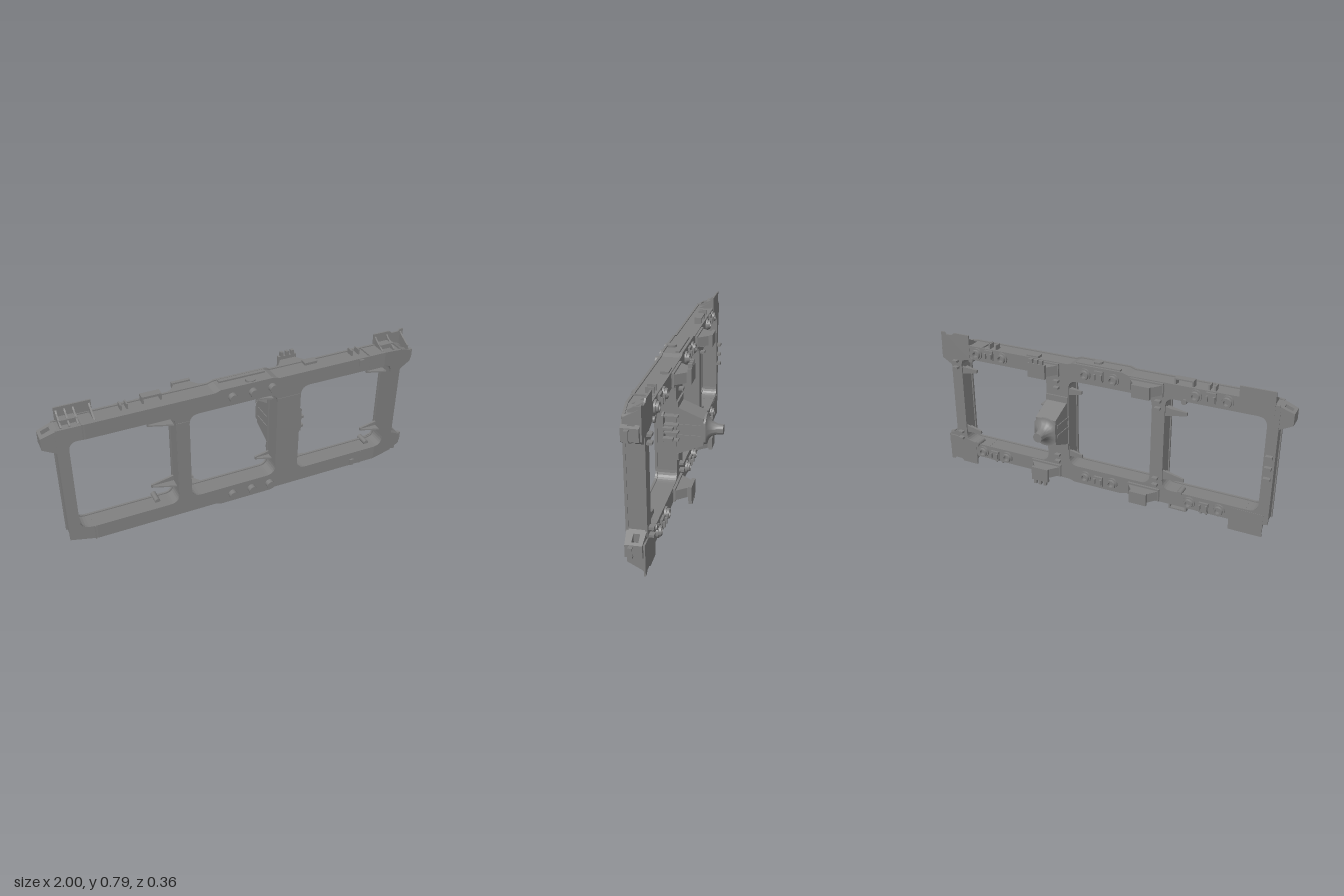
import * as THREE from 'three';
import { toCreasedNormals } from 'three/addons/utils/BufferGeometryUtils.js';

const MID = 0.4; // height of the horizontal mirror plane
const material = new THREE.MeshStandardMaterial({ color: 0x808080, side: THREE.DoubleSide });

// Closed shape from [a, b, radius] corners, rounded where a radius is given
function roundedShape(pts, Type = THREE.Shape) {
  const s = new Type();
  const n = pts.length;
  pts.forEach(([x, y, r = 0], i) => {
    const toward = (q) => {
      const d = Math.hypot(q[0] - x, q[1] - y);
      return [x + ((q[0] - x) * r) / d, y + ((q[1] - y) * r) / d];
    };
    const a = toward(pts[(i + n - 1) % n]);
    const b = toward(pts[(i + 1) % n]);
    if (i) s.lineTo(...a); else s.moveTo(...a);
    if (r) s.quadraticCurveTo(x, y, ...b);
  });
  s.closePath();
  return s;
}
const extrude = (shape, depth) =>
  new THREE.ExtrudeGeometry(shape, { depth, bevelEnabled: false, curveSegments: 6 });
// Profile (x, y) pushed along z; (z, y) along x; (x, z) along y
const extrudeZ = (shape, z0, z1) => extrude(shape, z1 - z0).translate(0, 0, z0);
const extrudeX = (shape, x0, x1) => extrude(shape, x1 - x0).rotateY(-Math.PI / 2).translate(x1, 0, 0);
const extrudeY = (shape, y0, y1) => extrude(shape, y1 - y0).rotateX(Math.PI / 2).translate(0, y1, 0);
// Turned part from [radius, height] points, pointing to the back
const turned = (pts, sides) => new THREE.LatheGeometry(pts.map(([r, h]) => new THREE.Vector2(r, h)), sides)
  .rotateX(-Math.PI / 2);

export function createModel() {
  const root = new THREE.Group();
  root.name = 'vehicleFrame';
  const add = (name, geo) => {
    const m = new THREE.Mesh(geo, material);
    m.name = name;
    root.add(m);
  };
  const box = (name, x0, x1, y0, y1, z0, z1) =>
    add(name, new THREE.BoxGeometry(x1 - x0, Math.abs(y1 - y0), z1 - z0)
      .translate((x0 + x1) / 2, (y0 + y1) / 2, (z0 + z1) / 2));
  const rod = (name, x, y, z0, z1, r) =>
    add(name, new THREE.CylinderGeometry(r, r, z1 - z0, 20).rotateX(Math.PI / 2).translate(x, y, (z0 + z1) / 2));

  // Main frame: a box-section core with overhanging front and back flanges.
  // d insets the outline and widens the openings.
  const frameShapes = (d) => {
    const r = 0.05, lo = 0.14 - d, hi = 0.66 + d, t = 0.74 - d, b = 0.06 + d;
    const middle = roundedShape([
      [-0.8, t], [-0.16, t], [-0.13, t + 0.01], [0.15, t + 0.01], [0.18, t], [0.8, t],
      [0.8, hi], [0.31 - d, hi, r], [0.31 - d, lo, r], [0.8, lo],
      [0.8, b], [0.18, b], [0.15, b - 0.01], [-0.13, b - 0.01], [-0.16, b], [-0.8, b],
      [-0.8, lo], [-0.365 + d, lo, r], [-0.365 + d, hi, r], [-0.8, hi]]);
    middle.holes.push(roundedShape([
      [-0.295 - d, lo + 0.01, r], [0.178 + d, lo + 0.01, r],
      [0.178 + d, hi - 0.01, r], [-0.295 - d, hi - 0.01, r]], THREE.Path));
    const left = roundedShape([
      [-0.8, t], [-0.93, t - 0.01], [-0.935 + d, 0.7], [-0.935 + d, 0.08 + d], [-0.8, b],
      [-0.8, lo], [-0.88 - d, lo, r], [-0.88 - d, hi, r], [-0.8, hi]]);
    const right = roundedShape([
      [0.8, t], [0.92, t - 0.015], [0.915 - d, 0.7], [0.915 - d, 0.1], [0.92, b + 0.015], [0.8, b],
      [0.8, lo], [0.85 + d, lo, r], [0.85 + d, hi, r], [0.8, hi]]);
    return [middle, left, right];
  };
  for (const [name, z0, z1, d] of [
    ['backFlange', 0.042, 0.053, 0], ['frameCore', 0.053, 0.14, 0.006], ['frontFlange', 0.14, 0.152, 0]]) {
    for (const shape of frameShapes(d)) {
      const g = extrudeZ(shape, z0, z1);
      const p = g.attributes.position;
      // the front face slopes back toward both ends
      for (let i = 0; i < p.count; i++)
        if (p.getZ(i) > 0.1) p.setZ(i, p.getZ(i) - Math.max(0, Math.abs(p.getX(i)) - 0.8) * 0.12);
      g.computeVertexNormals();
      add(name, g);
    }
  }
  // Cover plates on the two crossmembers
  box('crossmemberCover', 0.178, 0.308, 0.18, 0.62, 0.15, 0.154);
  box('crossmemberCover', -0.363, -0.297, 0.18, 0.62, 0.15, 0.154);

  // Hollow corner ears, with a vertical window through each
  const ear = (side, x0, x1, s) => {
    const shape = roundedShape([[x0, 0.045], [x1, 0.05], [x1, 0.128], [x0, 0.136]]);
    const a = x0 + (x1 - x0) * 0.32, b = x0 + (x1 - x0) * 0.82;
    shape.holes.push(roundedShape([[a, 0.07], [b, 0.07], [b, 0.1], [a, 0.1]], THREE.Path));
    const g = extrudeY(shape, -0.5, 0.5);
    const p = g.attributes.position;
    for (let i = 0; i < p.count; i++) {
      const u = (p.getX(i) - x0) / (x1 - x0);
      const h = p.getY(i) > 0 ? 0.33 - 0.03 * u : 0.2 + 0.04 * u;
      p.setY(i, MID + s * h);
    }
    if (s < 0) { // restore the winding after mirroring
      for (let i = 0; i < p.count; i += 3) {
        const v = [p.getX(i), p.getY(i), p.getZ(i)];
        p.setXYZ(i, p.getX(i + 1), p.getY(i + 1), p.getZ(i + 1));
        p.setXYZ(i + 1, ...v);
      }
    }
    g.computeVertexNormals();
    add(side + 'Ear', g);
  };
  ear('right', -0.92, -1, 1);
  ear('left', 0.905, 0.98, 1);
  ear('left', 0.905, 0.98, -1);

  // Parts repeated on the upper and lower rails
  for (const s of [1, -1]) {
    const Y = (y) => MID + s * (y - MID);
    const sbox = (name, x0, x1, y0, y1, z0, z1) => box(name, x0, x1, Y(y0), Y(y1), z0, z1);
    const shapeY = (pts) => roundedShape(pts.map(([a, y, r]) => [a, Y(y), r]));

    // Corner plates and their triangular ribs
    add('cornerPlate', extrudeZ(shapeY([
      [-0.91, 0.67], [-0.735, 0.67], [-0.735, 0.797], [-0.91, 0.797]]), 0.04, 0.048));
    add('cornerPlate', extrudeZ(shapeY([
      [0.79, 0.66], [0.86, 0.64], [0.97, 0.64], [0.97, 0.795], [0.95, 0.795], [0.94, 0.783],
      [0.9, 0.783], [0.885, 0.797], [0.79, 0.797]]), 0.04, 0.048));
    for (const x of [-0.9, -0.86, -0.82, -0.745, 0.8, 0.87, 0.955])
      add('plateRib', extrudeX(shapeY([[0.045, 0.7], [0.045, 0.785], [0.06, 0.77], [0.125, 0.735], [0.125, 0.7]]), x - 0.004, x + 0.004));
    for (const x of [-0.88, 0.82]) sbox('ribShelf', x - 0.02, x + 0.06, 0.73, 0.755, 0.06, 0.1);

    // Front bosses
    for (const x of [-0.07, 0.04, 0.145]) rod('frontBoss', x, Y(0.7), 0.15, 0.18, 0.022);

    // Pairs of ring seats on the back, with a clamp between them
    for (const x of [-0.6, 0, 0.66]) {
      for (const e of [-0.08, 0.08])
        add('ringSeat', toCreasedNormals(turned([[0.033, 0], [0.033, 0.012], [0.026, 0.012],
          [0.024, 0.024], [0.015, 0.024], [0.015, 0]], 24), 0.5).translate(x + e, Y(0.702), 0.044));
      sbox('clampBase', x - 0.025, x + 0.025, 0.68, 0.735, 0.03, 0.044);
      for (const e of [-0.018, 0.018]) sbox('clampEar', x + e - 0.005, x + e + 0.005, 0.69, 0.72, 0.018, 0.032);
    }

    // Rear brackets with flared necks and end plates
    for (const [x, w] of [[-0.265, 0.048], [0.32, 0.05]]) {
      add('bracketNeck', extrudeY(roundedShape([
        [x - 0.095, 0.045], [x - 0.085, 0.03], [x - 0.045, -0.02], [x - 0.045, -0.03],
        [x + 0.045, -0.03], [x + 0.045, -0.02], [x + 0.085, 0.03], [x + 0.095, 0.045]]),
        Math.min(Y(0.675), Y(0.727)), Math.max(Y(0.675), Y(0.727))));
      sbox('bracketPad', x - 0.09, x + 0.09, 0.665, 0.735, 0.03, 0.045);
      sbox('bracketPlate', x - w, x + w, 0.668, x > 0 ? 0.745 : 0.735, -0.044, -0.026);
      if (x > 0) for (const e of [-0.03, 0, 0.03])
        sbox('bracketProng', x + e - 0.008, x + e + 0.008, 0.74, 0.768, -0.044, -0.026);
    }

    // Open steps on the outer face of the rail
    for (const x of [-0.5, -0.41]) sbox('loopLeg', x - 0.004, x + 0.004, 0.735, 0.77, 0.05, 0.09);
    sbox('loopBar', -0.5, -0.41, 0.763, 0.77, 0.05, 0.09);
    sbox('railPad', 0.36, 0.43, 0.735, 0.748, 0.05, 0.09);
    for (const x of [-0.61, -0.58, 0.63, 0.67]) sbox('railLug', x - 0.004, x + 0.004, 0.73, 0.762, 0.06, 0.1);
    sbox('railPad', -0.11, 0.14, 0.74, 0.753, 0.06, 0.08);
    sbox('frontHook', 0.642, 0.666, 0.7, 0.735, 0.15, 0.162);
    for (const x of [-0.81, 0.71]) sbox('seamStrip', x - 0.003, x + 0.003, 0.665, 0.742, 0.05, 0.153);
    // Round stud on the side of the rail
    add('railStud', new THREE.CylinderGeometry(0.025, 0.025, 0.02, 20).translate(0.04, Y(0.745), 0.12));

    // Pointed arms reaching out from the crossmembers and the end beam
    for (const x of [-0.36, 0.225, 0.878]) {
      add('sideArm', extrudeZ(shapeY([
        [x, 0.555], [x - 0.03, 0.562], [x - 0.12, 0.58], [x - 0.12, 0.597], [x - 0.03, 0.602], [x, 0.61]]), 0.05, 0.062));
      add('sideArmWeb', extrudeY(roundedShape([
        [x, 0.055], [x - 0.12, 0.055], [x - 0.11, 0.07], [x, 0.11]]), Y(0.588) - 0.004, Y(0.588) + 0.004));
    }
    for (const x of [-0.465, 0.78]) rod('hosePin', x, Y(0.66), 0.03, 0.1, 0.014);

    // Lugs on the backs of the crossmembers and end beam
    for (const x of [-0.33, 0.245, 0.882]) for (const y of [0.6, 0.638])
      sbox('backLug', x - 0.015, x + 0.015, y - 0.006, y + 0.006, 0.018, 0.044);

    // Thin loops at the far end
    for (const y of [0.647, 0.693]) sbox('endLoopArm', 0.96, 1, y - 0.003, y + 0.003, 0.09, 0.11);
    sbox('endLoopBar', 0.994, 1, 0.647, 0.693, 0.09, 0.11);
  }
  // Small brackets on the narrow end beam
  for (const y of [0.34, 0.4, 0.46]) box('endBeamLug', -0.925, -0.89, y - 0.008, y + 0.008, 0.02, 0.044);

  // Pivot housing with mounting flange and flared nose
  add('pivotHousing', extrudeX(roundedShape([
    [0.05, 0.275], [0.05, 0.525], [0.03, 0.52], [-0.09, 0.47], [-0.09, 0.33], [0.03, 0.28]]), 0.185, 0.303));
  box('housingFlange', 0.18, 0.308, 0.245, 0.28, 0.033, 0.046);
  box('housingFlange', 0.18, 0.308, 0.52, 0.553, 0.033, 0.046);
  for (const x of [0.184, 0.304]) for (const y of [0.372, 0.428])
    box('housingRib', x - 0.003, x + 0.003, y - 0.009, y + 0.009, -0.075, 0.045);
  const nose = turned([[0, 0], [0.079, 0], [0.079, 0.01], [0.07, 0.011], [0.05, 0.02],
    [0.037, 0.033], [0.03, 0.05], [0.027, 0.065], [0.025, 0.09], [0, 0.09]], 36);
  // the flare is cut flat to the width of the housing
  const np = nose.attributes.position;
  for (let i = 0; i < np.count; i++) np.setX(i, THREE.MathUtils.clamp(np.getX(i), -0.062, 0.062));
  add('pivotNose', toCreasedNormals(nose, 0.6).translate(0.244, 0.4, -0.09));

  // Shelf bracket beside the wide crossmember
  add('sideBracket', extrudeZ(roundedShape([
    [0.3, 0.34], [0.325, 0.355], [0.345, 0.355], [0.345, 0.49], [0.325, 0.5], [0.3, 0.5]]), 0.1, 0.11));
  for (const y of [0.36, 0.4, 0.44, 0.485]) box('bracketShelf', 0.3, 0.34, y - 0.004, y + 0.004, 0.03, 0.1);
  for (const y of [0.375, 0.43]) box('bracketTab', 0.335, 0.365, y - 0.007, y + 0.007, 0.05, 0.1);

  return root;
}
